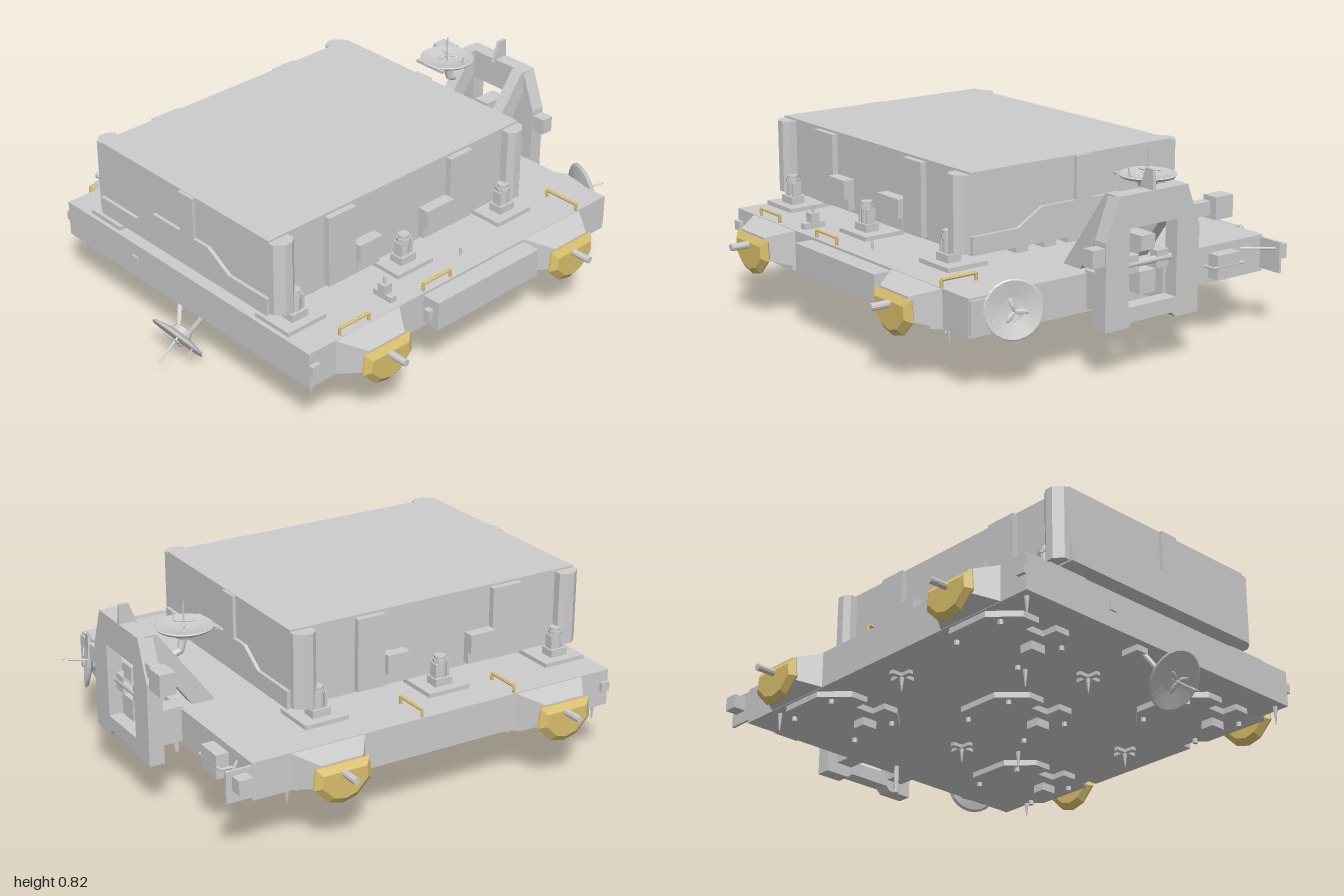
import * as THREE from 'three';

const GREY = new THREE.MeshStandardMaterial({ color: 0xcccccc, flatShading: true, side: THREE.DoubleSide });
const YELLOW = new THREE.MeshStandardMaterial({ color: 0xd9bf6c, flatShading: true, side: THREE.DoubleSide });
const V = (x, y, z) => new THREE.Vector3(x, y, z);
const UP = V(0, 1, 0);

function add(parent, name, geo, mat = GREY) {
  const mesh = new THREE.Mesh(geo, mat);
  mesh.name = name;
  parent.add(mesh);
  return mesh;
}

// box given by its min and max on each axis
function box(parent, name, x0, x1, y0, y1, z0, z1, mat) {
  const geo = new THREE.BoxGeometry(x1 - x0, y1 - y0, z1 - z0);
  geo.translate((x0 + x1) / 2, (y0 + y1) / 2, (z0 + z1) / 2);
  return add(parent, name, geo, mat);
}

// straight round bar between two points
function rod(parent, name, a, b, r, mat, r2 = r, sides = 10) {
  const mesh = add(parent, name, new THREE.CylinderGeometry(r2, r, a.distanceTo(b), sides), mat);
  mesh.position.copy(a).lerp(b, 0.5);
  mesh.quaternion.setFromUnitVectors(UP, b.clone().sub(a).normalize());
  return mesh;
}

const shape = (pts) => new THREE.Shape(pts.map((p) => new THREE.Vector2(p[0], p[1])));
const extrude = (s, depth) => new THREE.ExtrudeGeometry(s, { depth, bevelEnabled: false });

// plan outline (x, z), from top height downwards
function plan(parent, name, pts, top, depth) {
  return add(parent, name, extrude(shape(pts), depth).rotateX(Math.PI / 2).translate(0, top, 0));
}

// side outline (z, y), centred on x
function side(parent, name, pts, x, width) {
  return add(parent, name, extrude(shape(pts), width).rotateY(-Math.PI / 2).translate(x + width / 2, 0, 0));
}

// dish antenna facing dir
function dish(parent, name, pos, dir, r, tip) {
  const g = new THREE.Group();
  g.name = name;
  const profile = [[0, -0.055], [0.3, -0.05], [0.38, -0.026], [0.92, -0.012], [1, -0.002], [0.95, 0.002], [0.4, -0.012], [0, -0.016]];
  add(g, 'dishBowl', new THREE.LatheGeometry(profile.map((p) => new THREE.Vector2(p[0] * r, p[1])), 24));
  for (let i = 0; i < 3; i++) {
    const a = (i / 3) * Math.PI * 2 + Math.PI / 2;
    const petal = add(g, 'dishPetal', new THREE.SphereGeometry(1, 8, 6).scale(0.026, 0.005, 0.011));
    petal.position.set(Math.cos(a) * 0.03, 0.012, Math.sin(a) * 0.03);
    petal.rotation.y = -a;
  }
  rod(g, 'dishFeed', V(0, -0.02, 0), V(0, tip, 0), 0.005, GREY, 0.003, 6);
  rod(g, 'dishAerial', V(r * 0.75, -0.01, 0), V(r * 0.85, 0.035, 0), 0.003, GREY, 0.003, 5);
  g.position.copy(pos);
  g.quaternion.setFromUnitVectors(UP, dir.normalize());
  parent.add(g);
}

// low handrail between two deck points
function rail(parent, x0, z0, x1, z1) {
  const y = 0.44, a = V(x0, y, z0), b = V(x1, y, z1);
  rod(parent, 'handrail', a, b, 0.007, YELLOW, 0.007, 6);
  for (const p of [a, b]) rod(parent, 'handrailPost', V(p.x, 0.405, p.z), p, 0.007, YELLOW, 0.007, 6);
}

export function createModel() {
  const root = new THREE.Group();
  root.name = 'cargoPallet';

  // deck
  box(root, 'deck', -0.75, 0.745, 0.255, 0.41, -0.81, 0.86);
  box(root, 'sideLocker', 0.74, 0.825, 0.275, 0.4, -0.31, 0.26);
  box(root, 'lockerLatch', 0.77, 0.8, 0.32, 0.36, 0.26, 0.285);
  box(root, 'frontLatch', -0.315, -0.28, 0.325, 0.355, 0.86, 0.868);
  for (const s of [-1, 1]) box(root, 'cornerTab', s * 0.755 - 0.01, s * 0.755 + 0.01, 0.32, 0.36, 0.82, 0.86);

  // tapered outriggers with yellow guards and trunnion pins
  for (const s of [-1, 1]) for (const z of [-0.48, 0.56]) {
    const g = new THREE.Group();
    g.name = 'trunnion';
    const geo = new THREE.BoxGeometry(0.11, 0.155, 0.34);
    const p = geo.attributes.position;
    for (let i = 0; i < p.count; i++) if (p.getX(i) > 0) p.setXYZ(i, p.getX(i), p.getY(i) * 0.62, p.getZ(i) * 0.55);
    add(g, 'outrigger', geo).position.set(0.795, 0.332, 0);
    const guard = shape([[-0.095, 0.345], [0.095, 0.345], [0.1, 0.295], [0.05, 0.245], [0, 0.232], [-0.05, 0.245], [-0.1, 0.295]]);
    const gg = new THREE.ExtrudeGeometry(guard, { depth: 0.006, bevelSize: 0.026, bevelThickness: 0.02, bevelSegments: 1 });
    add(g, 'guard', gg.rotateY(Math.PI / 2).translate(0.848, 0, 0), YELLOW);
    rod(g, 'pin', V(0.85, 0.335, 0), V(0.955, 0.335, 0), 0.015);
    g.position.z = z;
    if (s < 0) g.rotation.y = Math.PI;
    root.add(g);
  }

  // container and its corner ribs
  box(root, 'container', -0.51, 0.51, 0.465, 0.79, -0.505, 0.845);
  for (const s of [-1, 1]) {
    for (const [z, d] of [[0.845, -1], [-0.505, 1]])
      plan(root, 'cornerRib', [[s * 0.5, z], [s * 0.535, z], [s * 0.565, z + d * 0.035], [s * 0.565, z + d * 0.07], [s * 0.545, z + d * 0.095], [s * 0.5, z + d * 0.095]], 0.782, 0.31);
    for (const [z0, z1] of [[-0.215, -0.09], [0.425, 0.565]])
      box(root, 'sidePanel', s * 0.52 - 0.016, s * 0.52 + 0.016, 0.475, 0.78, z0, z1);
    for (const [z0, z1] of [[-0.09, s > 0 ? 0.06 : 0.01], [0.305, 0.425]]) {
      box(root, 'sideBox', s * 0.53 - 0.03, s * 0.53 + 0.03, 0.53, 0.61, z0, z1);
      box(root, 'sideBoxBase', s * 0.52 - 0.02, s * 0.52 + 0.02, 0.48, 0.53, z0, z1);
    }
    // end plates
    const end = extrude(shape([[-0.51, 0.465], [0.51, 0.465], [0.51, 0.54], [0.29, 0.54], [0.17, 0.61], [-0.17, 0.61], [-0.28, 0.54], [-0.51, 0.54]]), 0.015);
    add(root, 'endPlate', end).position.z = s > 0 ? 0.845 : -0.52;
    const z = s > 0 ? 0.845 : -0.52;
    box(root, 'endRib', s > 0 ? 0 : -0.085, s > 0 ? 0.085 : 0, 0.6, 0.788, z, z + 0.015);
  }

  // jacks and supports below the container
  for (const z of [-0.4, 0.17, 0.745]) {
    for (const s of [-1, 1]) {
      const x = s * 0.538;
      box(root, 'jackPad', s * 0.515 - 0.095, s * 0.515 + 0.095, 0.405, 0.428, z - 0.097, z + 0.097);
      box(root, 'jackBase', x - 0.032, x + 0.032, 0.428, 0.46, z - 0.04, z + 0.04);
      rod(root, 'jackColumn', V(x, 0.44, z), V(x, 0.55, z), 0.024, GREY, 0.024, 12);
      for (const d of [-0.027, 0.027]) box(root, 'jackCheek', x - 0.02, x + 0.02, 0.45, 0.52, z + d - 0.006, z + d + 0.006);
      rod(root, 'jackCap', V(x, 0.52, z), V(x, 0.535, z), 0.03, GREY, 0.03, 8);
    }
    for (const x of [-0.235, -0.06, 0.06, 0.2])
      box(root, 'supportBlock', x - 0.03, x + 0.03, 0.405, 0.47, z - 0.03, z + 0.03);
  }

  // deck handrails and fittings
  rail(root, 0.58, -0.635, 0.74, -0.635);
  rail(root, 0.73, 0.1, 0.73, 0.25);
  rail(root, 0.73, 0.54, 0.73, 0.69);
  rail(root, -0.74, -0.05, -0.59, -0.05);
  rail(root, -0.74, 0.39, -0.59, 0.39);
  box(root, 'deckFitting', 0.61, 0.71, 0.41, 0.435, 0.375, 0.405);
  box(root, 'deckFittingHead', 0.64, 0.68, 0.43, 0.475, 0.37, 0.41);
  rod(root, 'deckFittingMast', V(0.66, 0.47, 0.39), V(0.66, 0.505, 0.39), 0.007);
  rod(root, 'deckPeg', V(0.65, 0.4, -0.04), V(0.65, 0.445, -0.04), 0.006);

  // underside plates: four corners and the middle
  for (const [x, z] of [[-0.52, 0.53], [0.52, 0.53], [0, 0.03], [-0.52, -0.46], [0.52, -0.46]]) {
    const w = 0.22, d = 0.2, c = 0.1;
    plan(root, 'bellyPlate', [[x - w, z - d + c], [x - w + c, z - d], [x + w - c, z - d], [x + w, z - d + c],
      [x + w, z + d - c], [x + w - c, z + d], [x + 0.05, z + d], [x + 0.05, z + d - 0.07], [x - 0.04, z + d - 0.07],
      [x - 0.04, z + d], [x - w + c, z + d], [x - w, z + d - c]], 0.256, 0.026);
    box(root, 'bellyBlock', x + 0.04, x + 0.11, 0.195, 0.24, z + 0.02, z + 0.08);
    for (const sx of [-1, 1]) for (const sz of [-1, 1])
      rod(root, 'bellyBolt', V(x + sx * 0.16, 0.24, z + sz * 0.12), V(x + sx * 0.16, 0.21, z + sz * 0.12), 0.011, GREY, 0.011, 6);
  }
  // cross-shaped feet with a downward spike
  for (const [x, z] of [[0.6, 0.08], [0.06, -0.37], [-0.06, 0.5], [-0.6, 0]]) {
    box(root, 'crossFoot', x - 0.055, x + 0.055, 0.24, 0.258, z - 0.01, z + 0.01);
    box(root, 'crossFoot', x - 0.01, x + 0.01, 0.24, 0.258, z - 0.055, z + 0.055);
    rod(root, 'footSpike', V(x, 0.25, z), V(x, 0.18, z), 0.012, GREY, 0.002, 6);
  }
  for (const [x, z] of [[-0.71, 0.82], [0.71, 0.82], [0.71, -0.64], [-0.71, -0.64], [-0.28, 0.37], [0.28, -0.25]])
    rod(root, 'cornerSpike', V(x, 0.256, z), V(x, 0.18, z), 0.011, GREY, 0.002, 6);
  rod(root, 'hangingRod', V(0.01, 0.26, -0.74), V(0.01, 0.13, -0.74), 0.011);

  // front dish on a pair of struts
  dish(root, 'frontDish', V(0, 0.12, 0.9), V(0, -0.6, 0.8), 0.125, 0.122);
  for (const s of [-1, 1]) {
    rod(root, 'frontDishStrut', V(s * 0.1, 0.28, 0.79), V(s * 0.035, 0.15, 0.86), 0.011);
    box(root, 'strutFoot', s * 0.1 - 0.03, s * 0.1 + 0.03, 0.23, 0.26, 0.75, 0.83);
  }

  // rear tower frame
  const frame = shape([[-0.235, 0.22], [-0.12, 0.22], [-0.1, 0.24], [0.1, 0.24], [0.12, 0.22], [0.235, 0.22], [0.235, 0.57], [0.17, 0.74], [-0.17, 0.74], [-0.235, 0.57]]);
  frame.holes.push(new THREE.Path([[-0.12, 0.3], [-0.12, 0.61], [0.12, 0.61], [0.12, 0.3]].map((p) => new THREE.Vector2(p[0], p[1]))));
  add(root, 'towerFrame', extrude(frame, 0.065)).position.z = -0.98;
  for (const s of [-1, 1]) {
    side(root, 'towerBrace', [[-0.65, 0.405], [-0.75, 0.405], [-0.95, 0.68], [-0.95, 0.74], [-0.9, 0.74]], s * 0.145, 0.055);
    box(root, 'towerMount', s * 0.145 - 0.04, s * 0.145 + 0.04, 0.27, 0.42, -0.92, -0.8);
    box(root, 'towerClamp', s * 0.075 - 0.03, s * 0.075 + 0.03, 0.42, 0.49, -0.95, -0.91);
  }
  side(root, 'towerFin', [[-0.98, 0.73], [-0.9, 0.73], [-0.935, 0.82], [-0.975, 0.82]], 0, 0.014);
  box(root, 'towerCore', -0.04, 0.04, 0.33, 0.42, -0.95, -0.81);
  box(root, 'towerLatch', -0.035, 0.035, 0.5, 0.56, -0.95, -0.84);
  rod(root, 'towerCrossbar', V(-0.13, 0.455, -0.94), V(0.13, 0.455, -0.94), 0.014);
  box(root, 'towerArm', -0.31, -0.18, 0.595, 0.65, -0.97, -0.925);
  box(root, 'towerArmBox', -0.39, -0.3, 0.58, 0.67, -1, -0.93);
  box(root, 'towerSideKnob', 0.2, 0.295, 0.48, 0.55, -0.975, -0.92);

  // upward dish carried by the tower
  dish(root, 'topDish', V(-0.15, 0.745, -0.77), V(0, 1, 0), 0.117, 0.095);
  rod(root, 'topDishArm', V(-0.15, 0.71, -0.77), V(-0.15, 0.64, -0.79), 0.016);
  rod(root, 'topDishArm', V(-0.15, 0.645, -0.785), V(-0.15, 0.59, -0.93), 0.016);
  box(root, 'topDishBar', -0.23, -0.07, 0.73, 0.742, -0.675, -0.66);

  // rear corner dish and its wedge mount
  dish(root, 'rearDish', V(0.58, 0.35, -0.868), V(0.36, 0.1, -0.92), 0.118, 0.1);
  plan(root, 'rearDishMount', [[0.43, -0.8], [0.5, -0.85], [0.66, -0.82], [0.74, -0.82], [0.74, -0.8]], 0.4, 0.13);

  // rear bracket, box and rail on the other corner
  box(root, 'rearBracket', -0.75, -0.738, 0.27, 0.4, -0.92, -0.8);
  box(root, 'rearBracketBox', -0.805, -0.745, 0.32, 0.38, -0.895, -0.835);
  rod(root, 'rearBracketStay', V(-0.745, 0.37, -0.9), V(-0.62, 0.37, -0.8), 0.006);
  box(root, 'rearBox', -0.57, -0.45, 0.28, 0.38, -0.865, -0.8);
  for (const x of [-0.595, -0.43]) rod(root, 'rearRailPost', V(x, 0.33, -0.8), V(x, 0.33, -0.86), 0.006);
  rod(root, 'rearRail', V(-0.595, 0.33, -0.86), V(-0.43, 0.33, -0.86), 0.006);
  return root;
}
